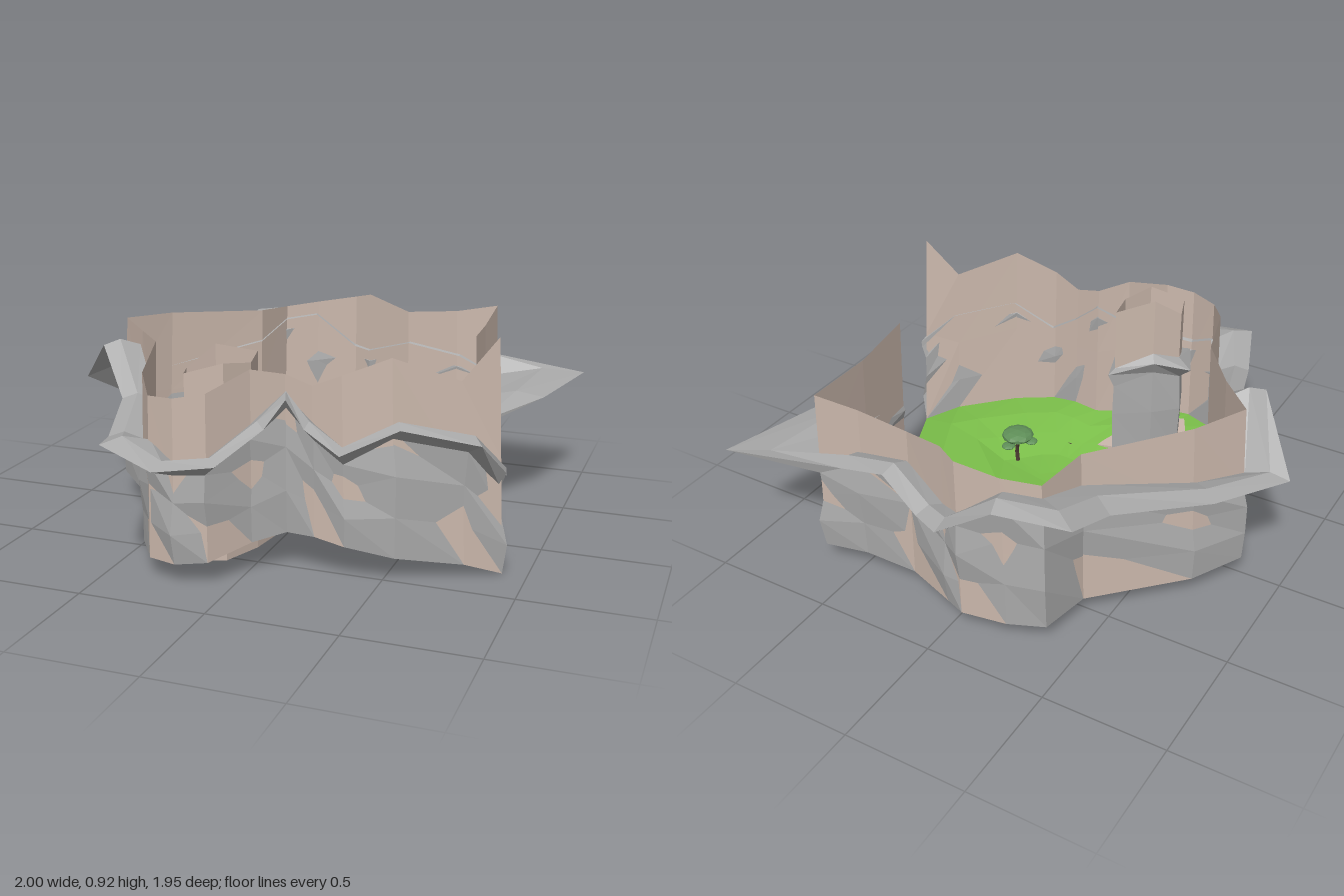
import * as THREE from 'three';

const paint = (color) => new THREE.MeshStandardMaterial({ color, flatShading: true, side: THREE.DoubleSide });
const GRASS = paint(0x7cc04a), CLIFF = paint(0xcbb8ac), ROCK = paint(0xaaaaaa);
const LEAF = paint(0x5f8f58), BARK = paint(0x4a3a30);

// Perimeter stations: x, z, wall top, ledge height, ledge width, optional turn of the ledge
const RIM = [
  [0.905, 0.285, 0.92, 0.4, 0], [0.78, 0.38, 0.76, 0.56, 0.14], [0.55, 0.52, 0.86, 0.62, 0.09],
  [0.37, 0.565, 0.79, 0.52, 0.1], [0.25, 0.555, 0.74, 0.6, 0.09], [0.135, 0.54, 0.77, 0.7, 0.1],
  [0.03, 0.63, 0.8, 0.6, 0.1], [-0.08, 0.79, 0.74, 0.5, 0.11], [-0.2, 0.82, 0.72, 0.49, 0.15],
  [-0.32, 0.78, 0.71, 0.55, 0.18], [-0.42, 0.63, 0.75, 0.5, 0.12], [-0.52, 0.32, 0.79, 0.56, 0.12],
  [-0.68, 0.13, 0.78, 0.73, 0.14], [-0.84, -0.03, 0.79, 0.52, 0.16], [-0.72, -0.23, 0.78, 0.55, 0.14],
  [-0.41, -0.54, 0.75, 0.62, 0.2], [-0.37, -0.75, 0.73, 0.68, 0.21], [-0.23, -0.81, 0.75, 0.7, 0.14],
  [-0.05, -0.84, 0.78, 0.56, 0.14], [0.03, -0.81, 0.8, 0.55, 0.12], [0.24, -0.735, 0.75, 0.62, 0.125],
  [0.47, -0.735, 0.77, 0.58, 0.125], [0.65, -0.77, 0.8, 0.5, 0.37, 0.25], [0.67, -0.45, 0.78, 0.49, 0.23],
  [0.7, -0.16, 0.8, 0.43, 0],
];

// Rolling ground: nearly level, with mounds and hollows [x, z, radius, height]
const SWELLS = [[0.2, 0.55, 0.3, 0.08], [0.905, 0.285, 0.15, -0.08], [0.4, -0.42, 0.22, 0.035],
  [0.32, 0.13, 0.2, -0.035], [-0.84, -0.03, 0.2, 0.02], [0, -0.05, 0.25, 0.02], [0.7, -0.16, 0.15, -0.03]];
const groundY = (x, z) => SWELLS.reduce((y, [cx, cz, r, h]) =>
  y + h * Math.exp(-((x - cx) ** 2 + (z - cz) ** 2) / (r * r)), 0.08);

// Point on the ledge, k of the way out from the wall along the outward normal
function ledgePoint(i, k, dy) {
  const [x, z, , y, width, turn = 0] = RIM[i];
  const a = RIM[Math.max(i - 1, 0)], b = RIM[Math.min(i + 1, RIM.length - 1)];
  const angle = Math.atan2(a[0] - b[0], b[1] - a[1]) + turn;
  return [x + Math.cos(angle) * width * k, y + dy, z + Math.sin(angle) * width * k];
}

// Faceted skin between rows of points that share one length
function loft(rows, closed) {
  const pos = [], n = rows[0].length;
  for (let r = 0; r + 1 < rows.length; r++) {
    for (let i = 0; i < (closed ? n : n - 1); i++) {
      const j = (i + 1) % n;
      const a = rows[r][i], b = rows[r][j], c = rows[r + 1][j], d = rows[r + 1][i];
      pos.push(...a, ...b, ...c, ...a, ...c, ...d);
    }
  }
  const g = new THREE.BufferGeometry();
  g.setAttribute('position', new THREE.Float32BufferAttribute(pos, 3));
  g.computeVertexNormals();
  return g;
}

function add(parent, name, geometry, material, x = 0, y = 0, z = 0) {
  const m = new THREE.Mesh(geometry, material);
  m.name = name;
  m.position.set(x, y, z);
  parent.add(m);
  return m;
}

// Flat slab from an outline of [x, z] points, with an optional hole
function slab(points, depth, hole) {
  const vectors = (list) => list.map(([x, z]) => new THREE.Vector2(x, -z));
  const shape = new THREE.Shape(vectors(points));
  if (hole) shape.holes.push(new THREE.Path(vectors(hole)));
  return new THREE.ExtrudeGeometry(shape, { depth, bevelEnabled: false }).rotateX(-Math.PI / 2);
}

function buildGround(group) {
  const rows = [0, 0.2, 0.4, 0.6, 0.8, 1].map((t) =>
    RIM.map(([x, z]) => [x * t, groundY(x * t, z * t), z * t]));
  add(group, 'ground', loft(rows, true), GRASS);
}

// Bare cliff plus a rough rock shell with an overhanging ledge
function buildCliffs(group) {
  const wall = [0, 0.5, 1].map((t) => RIM.map(([x, z, top], i) =>
    [x * (1 - 0.04 * t), THREE.MathUtils.lerp(groundY(x, z), top, t), z + (i === 0 ? 0.035 * t : 0)]));
  add(group, 'cliffWall', loft(wall, false), CLIFF);

  const shell = [0, 0.35, 0.7, 1].map((t, k) => RIM.map(([x, z, , ledge], i) => {
    const out = t ? 1.008 + 0.018 * Math.sin(i * 2.3 + k * 1.9) : 1;
    return [x * out * (1 - 0.02 * t), THREE.MathUtils.lerp(groundY(x, z), ledge - 0.06, t), z * out];
  }));
  const ledge = [[1, 0], [0.5, 0.02], [-0.1, -0.01]].map(([k, dy]) => RIM.map((_, i) => ledgePoint(i, k, dy)));
  add(group, 'rockShell', loft([...shell, ...ledge], false), ROCK);
}

// Free-standing stack of rock near the front: x, z, wall top, ledge x, ledge z, ledge height
function buildStack(group) {
  const S = [
    [-0.05, 0.36, 0.8, -0.03, 0.34, 0.5], [-0.02, 0.5, 0.79, 0.01, 0.5, 0.54], [-0.08, 0.62, 0.81, -0.05, 0.66, 0.5],
    [-0.22, 0.66, 0.77, -0.22, 0.75, 0.48], [-0.26, 0.55, 0.76, -0.33, 0.52, 0.52], [-0.18, 0.46, 0.84, -0.2, 0.43, 0.56],
  ];
  add(group, 'stackWall', loft([S.map((s) => [s[0], 0.05, s[1]]), S.map((s) => [s[0], s[2], s[1]])], true), CLIFF);
  const row = (k, y) => S.map((s) => [s[0] + (s[3] - s[0]) * k, y(s), s[1] + (s[4] - s[1]) * k]);
  add(group, 'stackLedge', loft([
    row(0.1, () => 0.07), row(0.25, () => 0.3), row(0.1, (s) => s[5] - 0.06), row(1, (s) => s[5]),
    row(0, (s) => s[5] + 0.03), S.map(() => [-0.14, 0.52, 0.53]),
  ], true), ROCK);
  const foot = [[0.02, 0.35], [-0.33, 0.45], [-0.28, 0.62], [-0.22, 0.73], [-0.06, 0.66], [0, 0.5]];
  add(group, 'stackFoot', slab(foot, 0.06), CLIFF, 0, 0.06, 0);
}

// Low stone border around the planted patch
function buildBorder(group) {
  const outer = [[-0.01, -0.42], [-0.31, -0.345], [-0.39, -0.18], [-0.37, 0.02], [0.02, -0.02]];
  const inner = outer.map(([x, z]) => [-0.19 + (x + 0.19) * 0.82, -0.18 + (z + 0.18) * 0.82]);
  add(group, 'patchBorder', slab(outer, 0.045, inner), CLIFF, 0, 0.073, 0);
}

// Flat-topped tree: leaning trunk, broad crown, small side pads
function buildTree(x, z, size) {
  const tree = new THREE.Group();
  tree.name = 'tree';
  const path = new THREE.CatmullRomCurve3([[0, -0.01, 0], [0.012, 0.05, 0.01], [-0.005, 0.12, 0]]
    .map((p) => new THREE.Vector3(...p)));
  add(tree, 'trunk', new THREE.TubeGeometry(path, 5, 0.009, 5), BARK);
  const pads = [[0, 0.14, 0, 0.07], [-0.035, 0.085, 0.055, 0.028], [0.03, 0.075, 0.055, 0.028], [0.02, 0.1, -0.045, 0.03]];
  for (const [px, py, pz, r] of pads) {
    add(tree, 'crown', new THREE.IcosahedronGeometry(r, 1).scale(1, 0.36, 1), LEAF, px, py, pz);
  }
  tree.position.set(x, groundY(x, z), z);
  tree.scale.setScalar(size);
  return tree;
}

// Bare twigs fanning out from one root
function buildTwigs(x, z, size) {
  const bush = new THREE.Group();
  bush.name = 'twigs';
  for (let i = 0; i < 5; i++) {
    const twig = add(bush, 'twig', new THREE.ConeGeometry(size * 0.09, size, 4).translate(0, size / 2, 0), BARK);
    twig.rotation.set(0.75 + 0.2 * Math.sin(i * 3), i * 1.257 + x * 5, 0, 'YXZ');
  }
  bush.position.set(x, groundY(x, z), z);
  return bush;
}

export function createModel() {
  const model = new THREE.Group();
  model.name = 'canyon';
  buildGround(model);
  buildCliffs(model);
  buildStack(model);
  buildBorder(model);
  model.add(buildTree(-0.11, -0.19, 0.85), buildTree(0.305, 0.14, 1));
  for (const [x, z, size] of [[-0.34, 0.19, 0.06], [-0.13, -0.67, 0.04], [0.3, -0.33, 0.04], [-0.48, -0.05, 0.015],
    [-0.42, -0.3, 0.015], [0.25, -0.2, 0.012], [0.51, -0.3, 0.012], [0.13, 0.3, 0.015], [0.37, 0.05, 0.015]]) {
    model.add(buildTwigs(x, z, size));
  }
  return model;
}
